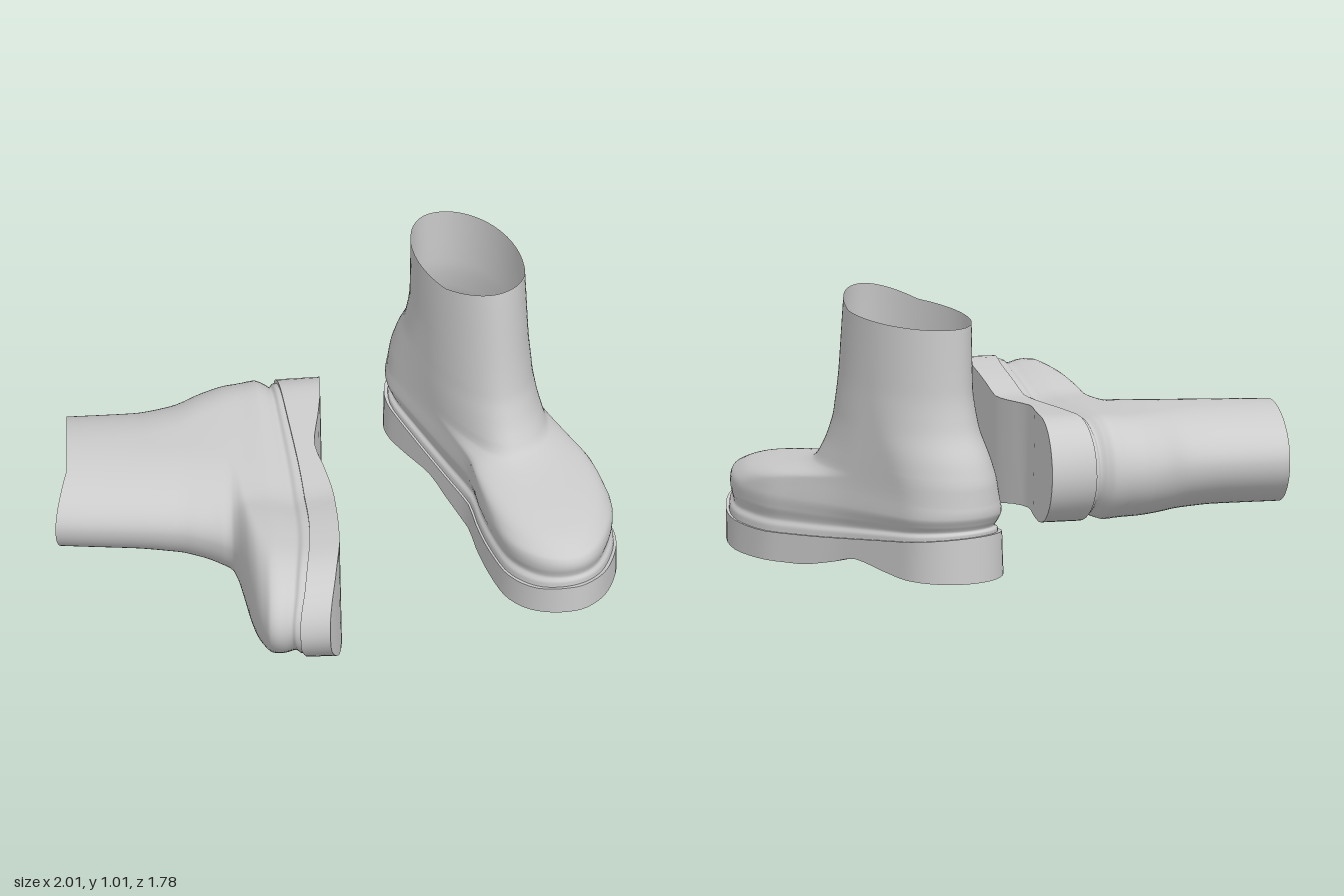
import * as THREE from 'three';

const N = 40; // steps from heel to toe along each side

// Smooth monotone interpolation through [x, y] points
function curve(pts) {
  const d = pts.slice(1).map((p, i) => (p[1] - pts[i][1]) / (p[0] - pts[i][0]));
  const m = pts.map((p, i) => {
    const a = d[Math.max(i - 1, 0)], b = d[Math.min(i, d.length - 1)];
    return a * b > 0 ? (2 * a * b) / (a + b) : 0;
  });
  return (x) => {
    if (x <= pts[0][0]) return pts[0][1];
    for (let i = 0; i < d.length; i++) {
      const [x0, y0] = pts[i], [x1, y1] = pts[i + 1];
      if (x > x1) continue;
      const w = x1 - x0, t = (x - x0) / w, s = 1 - t;
      return y0 * s * s * (1 + 2 * t) + y1 * t * t * (3 - 2 * t) + w * t * s * (m[i] * s - m[i + 1] * t);
    }
    return pts[pts.length - 1][1];
  };
}

// Footprint: half widths of the outer and inner side along the boot
const outer = curve([[-0.69, 0.19], [-0.4, 0.2], [-0.15, 0.213], [0.09, 0.257], [0.23, 0.281], [0.38, 0.27], [0.47, 0.25], [0.6, 0.21], [0.69, 0.19]]);
const inner = curve([[-0.69, 0.195], [-0.5, 0.19], [-0.34, 0.178], [-0.13, 0.158], [0.06, 0.143], [0.15, 0.162], [0.29, 0.182], [0.47, 0.194], [0.69, 0.2]]);
// Sole heights along the boot
const soleTop = curve([[-0.69, 0.212], [-0.39, 0.17], [0.01, 0.122], [0.31, 0.106], [0.6, 0.13], [0.69, 0.152]]);
const soleBottom = curve([[-0.69, 0.045], [-0.5, 0.045], [-0.38, 0.055], [-0.22, 0.074], [-0.09, 0.042], [0.06, 0.012], [0.36, 0], [0.55, 0.018], [0.69, 0.045]]);
// Side profile of the upper: back and front edge by height
const backEdge = curve([[0.12, -0.68], [0.2, -0.69], [0.29, -0.697], [0.38, -0.69], [0.46, -0.662], [0.58, -0.597], [0.72, -0.57], [1, -0.562]]);
const frontEdge = curve([[0.12, 0.69], [0.2, 0.692], [0.25, 0.675], [0.28, 0.63], [0.3, 0.58], [0.325, 0.46], [0.34, 0.36], [0.36, 0.25], [0.38, 0.192], [0.42, 0.157], [0.46, 0.13], [0.5, 0.11], [0.57, 0.085], [1, 0.03]]);
const frontRound = curve([[0.15, 0.27], [0.25, 0.3], [0.33, 0.38], [0.45, 0.34], [0.6, 0.31]]);
const inset = curve([[0.12, 0.008], [0.142, 0.01], [0.162, 0.021], [0.2, 0.012], [0.25, 0.003], [0.35, 0.006], [0.5, 0]]);
const shaftBlend = curve([[0.2, 0], [0.35, 0.25], [0.5, 0.7], [0.7, 1]]);

const cap = (d, r) => (d >= r ? 1 : Math.sqrt(Math.max(0, 1 - (1 - d / r) ** 2)));

// Closed outline: heel, outer side, toe, inner side
function ring({ back, front, rBack, rFront, blend = 0, shrink = 0, y }) {
  const out = [];
  for (let k = 0; k < 2 * N; k++) {
    const z = (back + front) / 2 - ((front - back) / 2) * Math.cos((Math.PI * k) / N);
    const round = cap(z - back, rBack) * cap(front - z, rFront);
    const side = k <= N ? 1 : -1;
    const half = side > 0
      ? THREE.MathUtils.lerp(outer(z) - shrink, 0.192, blend)
      : THREE.MathUtils.lerp(inner(z) - shrink, 0.16, blend);
    out.push([side * half * round, y(z), z]);
  }
  return out;
}

// Skin over rows of points
function loft(rows, closed, mirror) {
  const n = rows[0].length, pos = [], idx = [];
  for (const row of rows) for (const [x, y, z] of row) pos.push(mirror ? -x : x, y, z);
  for (let i = 0; i < rows.length - 1; i++) {
    for (let k = 0; k < (closed ? n : n - 1); k++) {
      const a = i * n + k, b = i * n + ((k + 1) % n), c = a + n, d = b + n;
      if (mirror) idx.push(a, b, c, b, d, c);
      else idx.push(a, c, b, b, c, d);
    }
  }
  const geo = new THREE.BufferGeometry();
  geo.setAttribute('position', new THREE.Float32BufferAttribute(pos, 3));
  geo.setIndex(idx);
  geo.computeVertexNormals();
  return geo;
}

// Flat fill between the outer and inner side of an outline
function fill(outline, up, mirror) {
  const a = outline.slice(0, N + 1);
  const b = a.map((p, i) => outline[(2 * N - i) % (2 * N)]);
  return loft(up ? [a, b] : [b, a], false, mirror);
}

function createBoot(mirror) {
  const boot = new THREE.Group();
  const material = new THREE.MeshStandardMaterial({ color: 0xcccccc, side: THREE.DoubleSide });
  const add = (name, geo) => {
    const mesh = new THREE.Mesh(geo, material);
    mesh.name = name;
    boot.add(mesh);
  };

  // Thick sole with raised arch
  const low = ring({ back: -0.695, front: 0.698, rBack: 0.2, rFront: 0.27, y: soleBottom });
  const high = ring({ back: -0.687, front: 0.698, rBack: 0.2, rFront: 0.27, y: soleTop });
  add('soleWall', loft([low, high], true, mirror));
  add('soleBottom', fill(low, false, mirror));
  add('insole', fill(high, true, mirror));

  // Upper: toe box, instep and shaft up to the open rim, raised at the front
  const rows = [];
  for (let i = 0; i <= 80; i++) {
    const h = i <= 56 ? 0.12 + (0.3 * i) / 56 : 0.42 + (0.543 * (i - 56)) / 24;
    const s = inset(h), blend = shaftBlend(h);
    const follow = Math.max(0, 1 - (h - 0.12) / 0.2);
    const rim = THREE.MathUtils.smoothstep(h, 0.6, 0.963);
    rows.push(ring({
      back: backEdge(h) + s, front: frontEdge(h) - s,
      rBack: 0.2 + 0.09 * blend, rFront: frontRound(h), blend, shrink: s,
      y: (z) => h + (soleTop(z) - 0.12) * follow + rim * (0.25 * Math.max(0, z + 0.13) + 0.03 * (z + 0.13)),
    }));
  }
  add('upper', loft(rows, true, mirror));
  return boot;
}

export function createModel() {
  const model = new THREE.Group();
  model.name = 'pairOfBoots';

  // Left boot stands with its toe turned out
  const left = createBoot(false);
  left.name = 'standingBoot';
  left.position.set(0.592, 0, -0.238);
  left.rotation.y = THREE.MathUtils.degToRad(24);

  // Right boot lies on its outer side
  const right = createBoot(true);
  right.name = 'lyingBoot';
  right.position.set(0.01, 0.322, 0.19);
  right.rotation.z = THREE.MathUtils.degToRad(91);

  model.add(left, right);
  return model;
}
